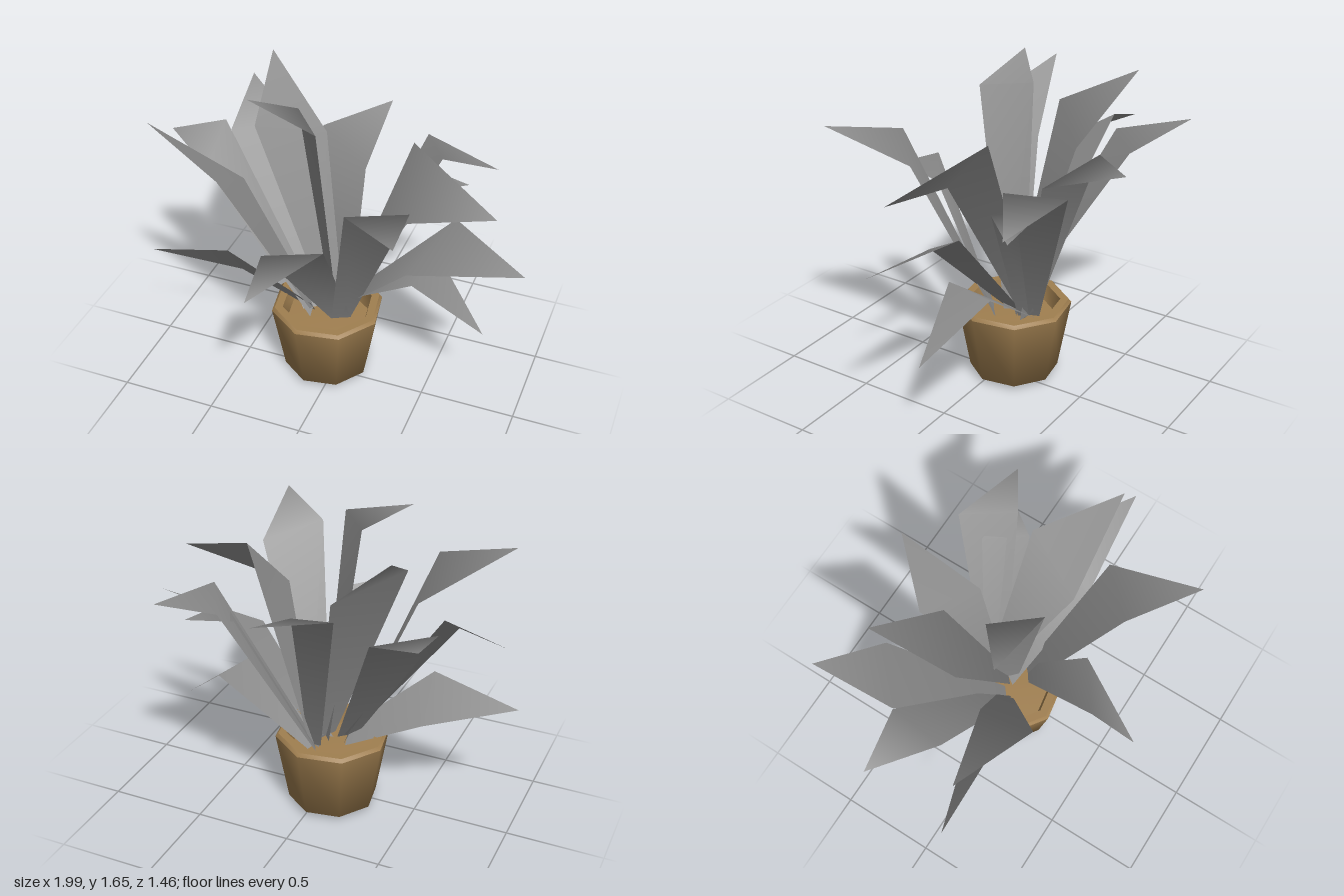
import * as THREE from 'three';
import { toCreasedNormals } from 'three/addons/utils/BufferGeometryUtils.js';

const potMaterial = new THREE.MeshStandardMaterial({ color: 0xa07f50, side: THREE.DoubleSide });
potMaterial.name = 'clay brown';
const leafMaterial = new THREE.MeshStandardMaterial({ color: 0x8e8e8e, side: THREE.DoubleSide });
leafMaterial.name = 'leaf grey';

// Leaves grow from four crowns in the soil. Each leaf: tip, then the two shoulders where it bends.
const crowns = [
  { name: 'backCrown', x: -0.01, z: -0.18, leaves: [
    [[0.05, 1.30, -0.73], [-0.23, 1.25, -0.44], [0.06, 1.14, -0.29]],
    [[0.70, 1.17, -0.48], [0.30, 1.24, -0.57], [0.45, 1.27, -0.32]],
    [[0.57, 1.085, -0.42], [0.29, 1.14, -0.43], [0.43, 1.13, -0.24]],
    [[0.785, 0.44, -0.07], [0.48, 0.715, -0.267], [0.42, 0.71, 0.01]],
    [[0.83, 1.25, 0.06], [0.345, 1.43, -0.17], [0.264, 1.12, 0.12]],
  ] },
  { name: 'rightCrown', x: -0.13, z: -0.03, leaves: [
    [[-0.73, 1.33, -0.69], [-0.685, 1.21, -0.29], [-0.43, 1.20, -0.50]],
    [[-0.89, 1.48, 0.20], [-0.46, 1.325, 0.34], [-0.46, 1.17, 0.05]],
    [[-0.975, 0.65, 0.134], [-0.53, 0.765, 0.14], [-0.53, 0.53, -0.02]],
    [[-1.00, 1.18, -0.235], [-0.695, 1.12, -0.02], [-0.70, 1.28, -0.267]],
  ] },
  { name: 'frontCrown', x: 0.04, z: 0, leaves: [
    [[0.52, 1.41, 0.655], [0.45, 1.28, 0.20], [0.21, 1.35, 0.42]],
    [[-0.16, 0.975, 0.725], [0.07, 1.035, 0.32], [-0.175, 1.076, 0.49]],
  ] },
  { name: 'middleCrown', x: -0.03, z: -0.08, leaves: [
    [[-0.52, 1.61, -0.485], [-0.45, 1.40, -0.08], [-0.17, 1.28, -0.34]],
    [[-0.40, 1.655, 0.10], [-0.04, 1.555, 0.135], [-0.21, 1.555, -0.07]],
    [[0.99, 0.96, 0.06], [0.58, 1.045, -0.166], [0.42, 0.857, 0.12]],
  ] },
];

// A bent blade: narrow foot, two shoulders and a pointed tip.
function leafGeometry(points, foot) {
  const [tip, a, b] = points.map((p) => new THREE.Vector3(...p));
  const across = a.clone().sub(b).normalize().multiplyScalar(0.055);
  const footA = foot.clone().add(across);
  const footB = foot.clone().sub(across);
  const geometry = new THREE.BufferGeometry().setFromPoints([footA, footB, b, a, tip]);
  geometry.setIndex([0, 2, 1, 0, 3, 2, 3, 4, 2]);
  geometry.computeVertexNormals();
  return geometry;
}

function lathe(profile) {
  return new THREE.LatheGeometry(profile.map(([r, y]) => new THREE.Vector2(r, y)), 8);
}

export function createModel() {
  const model = new THREE.Group();
  model.name = 'pottedPlant';

  // Eight-sided pot with a shallow pointed underside
  const pot = new THREE.Group();
  pot.name = 'pot';
  pot.position.set(-0.06, 0, -0.06);
  pot.rotation.y = -0.22;
  const wall = new THREE.Mesh(lathe([[0, 0], [0.232, 0.025], [0.298, 0.4]]), potMaterial);
  wall.name = 'potWall';
  // Bevelled rim, inner wall and soil
  const rimGeometry = lathe([[0.298, 0.4], [0.283, 0.417], [0.24, 0.417], [0.22, 0.33], [0, 0.34]]);
  const rim = new THREE.Mesh(toCreasedNormals(rimGeometry, 0.8), potMaterial);
  rim.name = 'potRimAndSoil';
  pot.add(wall, rim);
  model.add(pot);

  // Leaves fanning out of each crown
  for (const { name, x, z, leaves } of crowns) {
    const crown = new THREE.Group();
    crown.name = name;
    const foot = new THREE.Vector3(x, 0.38, z);
    leaves.forEach((points, i) => {
      const leaf = new THREE.Mesh(leafGeometry(points, foot), leafMaterial);
      leaf.name = `leaf${i + 1}`;
      crown.add(leaf);
    });
    model.add(crown);
  }
  return model;
}
